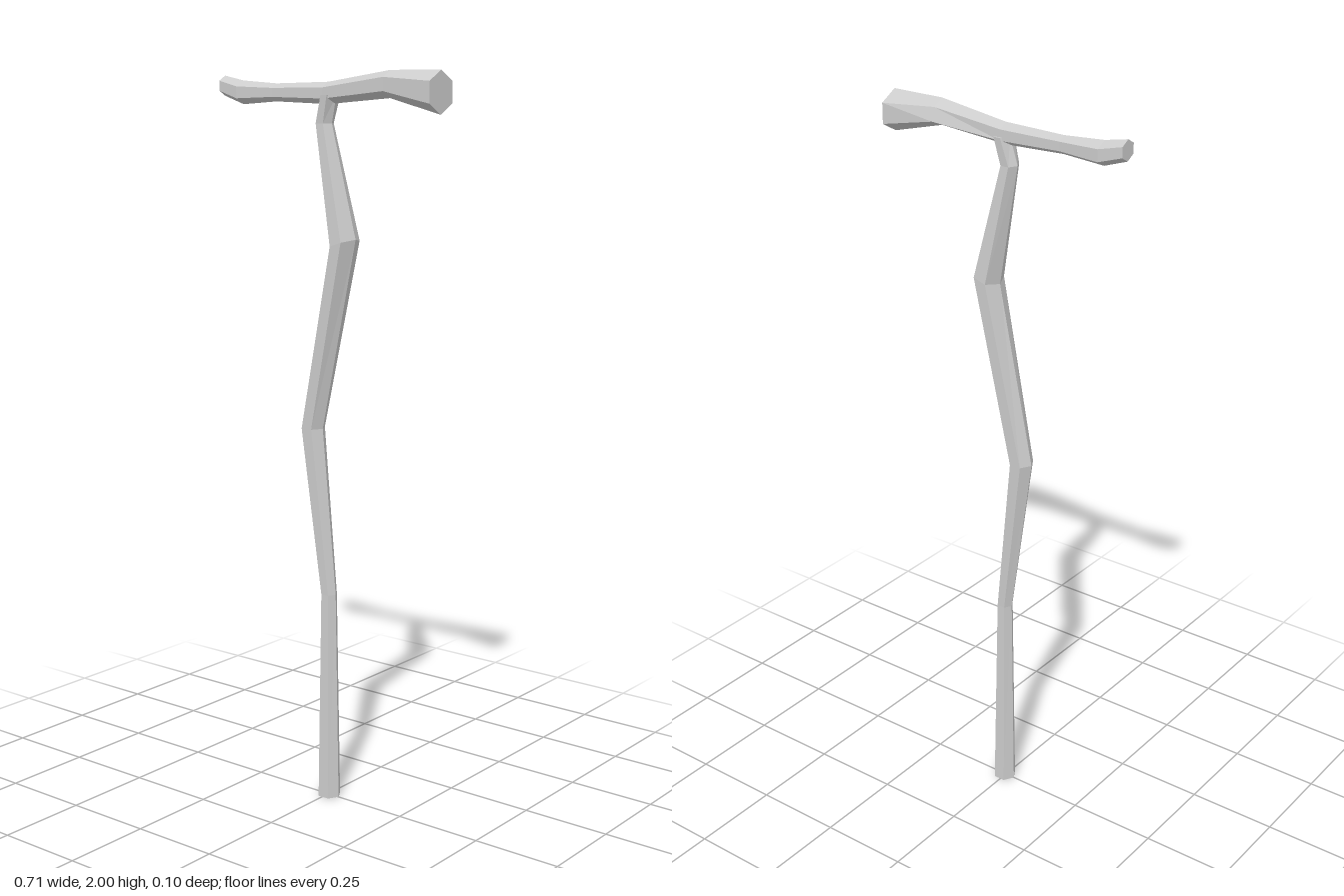
import * as THREE from 'three';

const SIDES = 6;

// Skin a list of six-cornered rings and cap both ends
function loft(name, rings) {
  const pos = [];
  const tri = (a, b, c) => [a, b, c].forEach((p) => pos.push(p.x, p.y, p.z));
  for (let k = 0; k < rings.length - 1; k++) {
    for (let i = 0; i < SIDES; i++) {
      const j = (i + 1) % SIDES;
      const [r, s] = [rings[k], rings[k + 1]];
      tri(r[i], s[i], r[j]);
      tri(r[j], s[i], s[j]);
    }
  }
  const first = rings[0], last = rings[rings.length - 1];
  for (let i = 1; i < SIDES - 1; i++) {
    tri(first[0], first[i], first[i + 1]);
    tri(last[0], last[i + 1], last[i]);
  }
  const geo = new THREE.BufferGeometry();
  geo.setAttribute('position', new THREE.Float32BufferAttribute(pos, 3));
  geo.computeVertexNormals();
  const mesh = new THREE.Mesh(geo, new THREE.MeshStandardMaterial({ color: 0xcccccc, flatShading: true }));
  mesh.name = name;
  return mesh;
}

// Ring of corners from a function of cosine, sine and corner index
const ring = (corner) => Array.from({ length: SIDES }, (_, i) => {
  const a = (i / SIDES) * Math.PI * 2;
  return corner(Math.cos(a), Math.sin(a) / Math.sin(Math.PI / 3), i);
});

export function createModel() {
  const group = new THREE.Group();
  group.name = 'walkingStick';

  // Crooked shaft: centre x, y, half width in x, half depth in z, tilt in y
  const shaft = [
    [0.004, 0, 0.033, 0.028, 0],
    [0.003, 0.59, 0.023, 0.02, 0],
    [-0.052, 1.05, 0.033, 0.03, 0],
    [0.055, 1.555, 0.036, 0.041, 0.012],
    [-0.012, 1.865, 0.024, 0.023, 0],
    [0.007, 1.937, 0.02, 0.029, 0],
  ];
  group.add(loft('shaft', shaft.map(([x, y, w, d, tilt]) =>
    ring((c, s) => new THREE.Vector3(x + c * w, y + c * tilt, s * d)))));

  // Carved handle: x, top y, bottom y, half depth in z, bulge of the lower back corner
  const handle = [
    [-0.358, 1.988, 1.934, 0.024, 0],
    [-0.292, 1.975, 1.912, 0.03, 0],
    [-0.175, 1.967, 1.92, 0.02, 0],
    [0, 1.971, 1.914, 0.024, 0],
    [0.2, 2, 1.93, 0.032, 0.011],
    [0.356, 2, 1.89, 0.05, 0],
  ];
  group.add(loft('handle', handle.map(([x, top, bottom, d, bulge]) =>
    ring((c, s, i) => new THREE.Vector3(
      x,
      (top + bottom) / 2 + (c * (top - bottom)) / 2,
      -s * d - (i === 2 ? bulge : 0),
    )))));

  return group;
}
